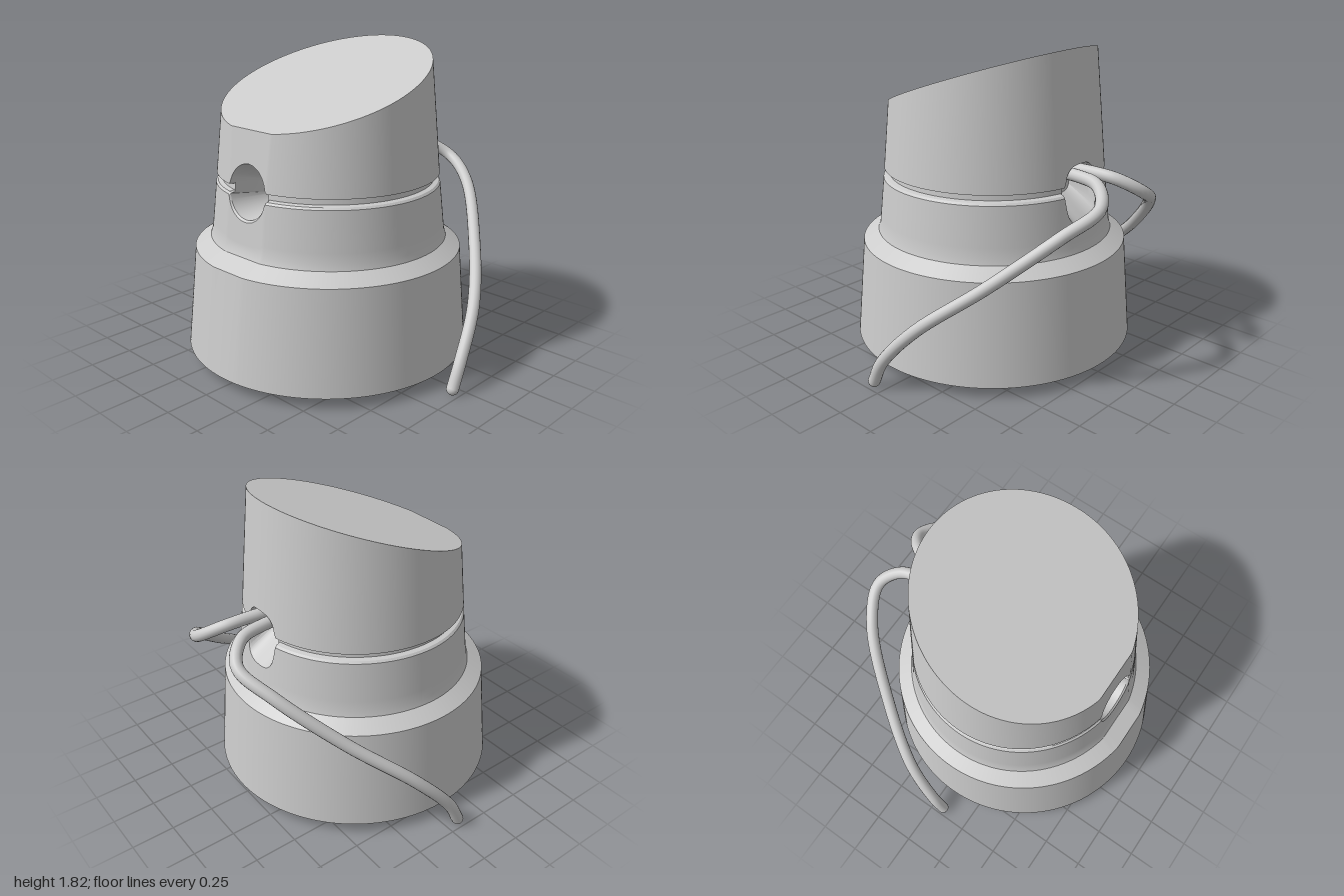
import * as THREE from 'three';
import { toCreasedNormals } from 'three/addons/utils/BufferGeometryUtils.js';

const CZ = 0.06; // body axis
// height, radius, distance to the slightly flattened front
const PROFILE = [
  [0.07, 0.835, 0.835], [0.665, 0.785, 0.76], [0.725, 0.7, 0.66], [0.76, 0.69, 0.645],
  [1.05, 0.658, 0.615], [1.42, 0.625, 0.57], [1.82, 0.588, 0.53], [2, 0.57, 0.51],
];

// point on the outer skin at an angle (0 = front) and height
function skin(a, y) {
  let k = 0;
  while (k < PROFILE.length - 2 && y > PROFILE[k + 1][0]) k++;
  const [y0, r0, f0] = PROFILE[k], [y1, r1, f1] = PROFILE[k + 1];
  const t = (y - y0) / (y1 - y0);
  const r = r0 + (r1 - r0) * t, f = f0 + (f1 - f0) * t;
  const c = Math.cos(a);
  const z = c > 0 ? Math.min((f + (r - f) * 0.35) * c, f) : r * c;
  return new THREE.Vector3(r * Math.sin(a), y, CZ + z);
}

const slantY = (z) => 1.415 + 0.354 * (0.63 - z);

function topPoint(a) {
  let y = 1.6;
  for (let i = 0; i < 10; i++) y = slantY(skin(a, y).z);
  return skin(a, y);
}

// front round hole and back cable slot, both opening out of the groove
const FRONT = { y: 1.078, w: 0.145, up: 0.155, down: 0.15, depth: 0.4, pow: 2, endY: 1.025, endH: 0.085 };
const BACK = { y: 1.06, w: 0.125, up: 0.15, down: 0.17, depth: 0.16, pow: 3, endY: 1.1, endH: 0.09 };

// one column of the body, from the centre of the bottom to the centre of the top
function column(a) {
  const hole = Math.cos(a) > 0 ? FRONT : BACK;
  const side = Math.sign(Math.cos(a));
  const u = Math.abs(0.65 * Math.sin(a)) / hole.w;
  const h = u < 1 ? Math.pow(1 - Math.pow(u, hole.pow), 1 / hole.pow) : 0;
  const lo = Math.min(1.055, hole.y - hole.down * h);
  const hi = Math.max(1.1, hole.y + hole.up * h);
  const inset = (y) => {
    const p = skin(a, y);
    return new THREE.Vector3(p.x * 0.945, y, CZ + (p.z - CZ) * 0.945);
  };
  const pts = [new THREE.Vector3(0, 0.07, CZ)];
  for (const y of [0.07, 0.665, 0.725, 0.76]) pts.push(skin(a, y));
  for (let i = 1; i <= 5; i++) pts.push(skin(a, 0.76 + (lo - 0.012 - 0.76) * i / 5));
  // rounded lip, then groove floor or hole end
  const lip = skin(a, lo);
  lip.x *= 0.985; lip.z = CZ + (lip.z - CZ) * 0.985;
  pts.push(lip);
  if (u < 0.97) {
    for (const s of [-1, 1]) {
      const p = skin(a, hole.endY + s * hole.endH * h);
      p.x *= 0.85;
      p.z -= side * hole.depth;
      pts.push(p);
    }
  } else {
    pts.push(inset(lo + 0.006), inset(hi - 0.004));
  }
  const top = topPoint(a);
  for (let i = 0; i <= 6; i++) pts.push(skin(a, hi + (top.y - hi) * i / 6));
  pts.push(new THREE.Vector3(0, slantY(CZ), CZ));
  return pts;
}

function bodyGeometry() {
  const N = 400, pos = [], index = [];
  let rows = 0;
  for (let i = 0; i <= N; i++) {
    const pts = column((i % N) / N * Math.PI * 2);
    rows = pts.length;
    for (const p of pts) pos.push(p.x, p.y, p.z);
  }
  for (let i = 0; i < N; i++) {
    for (let j = 0; j < rows - 1; j++) {
      const a = i * rows + j, b = a + rows;
      if (j > 0) index.push(a, b, b + 1);
      else index.push(a, b + 1, a + 1);
      if (j > 0 && j < rows - 2) index.push(a, b + 1, a + 1);
    }
  }
  const g = new THREE.BufferGeometry();
  g.setAttribute('position', new THREE.Float32BufferAttribute(pos, 3));
  g.setIndex(index);
  return toCreasedNormals(g, 0.45);
}

export function createModel() {
  const model = new THREE.Group();
  const mat = new THREE.MeshStandardMaterial({ color: 0xcccccc });

  const body = new THREE.Mesh(bodyGeometry(), mat);
  body.name = 'body';
  model.add(body);

  // two cables leaving the back slot and sweeping down around the sides
  const path = [
    [0.05, 1.15, -0.45], [0.055, 1.157, -0.6], [0.085, 1.14, -0.76], [0.2, 1.06, -0.86],
    [0.4, 0.945, -0.775], [0.67, 0.67, -0.5], [0.885, 0.41, -0.2], [0.955, 0.18, 0], [0.96, 0.04, 0.07],
  ];
  for (const s of [1, -1]) {
    const cable = new THREE.Group();
    cable.name = s > 0 ? 'leftCable' : 'rightCable';
    const pts = path.map(([x, y, z]) => new THREE.Vector3(x * s, y, z));
    const tube = new THREE.Mesh(new THREE.TubeGeometry(new THREE.CatmullRomCurve3(pts), 90, 0.035, 16), mat);
    tube.name = 'cableTube';
    const end = new THREE.Mesh(new THREE.SphereGeometry(0.035, 16, 12), mat);
    end.name = 'cableEnd';
    end.position.copy(pts[pts.length - 1]);
    cable.add(tube, end);
    model.add(cable);
  }
  return model;
}
